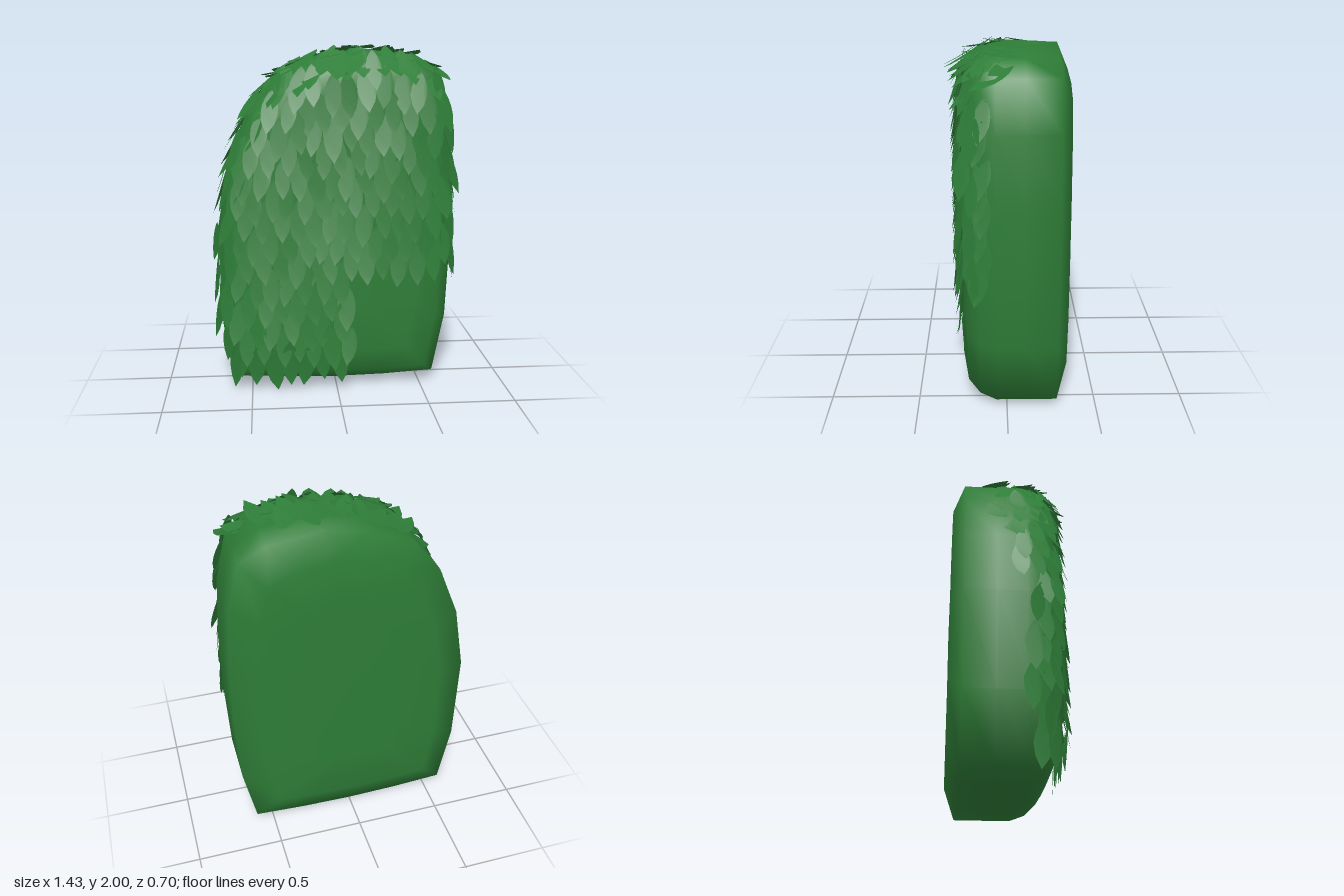
import * as THREE from 'three';
import { mergeGeometries } from 'three/addons/utils/BufferGeometryUtils.js';

// Outline of the hedge slab, counter-clockwise seen from the front
const outline = [
  [-0.6, 0.03], [-0.3, 0.012], [0, 0.005], [0.3, 0.012], [0.6, 0.03], [0.67, 0.38], [0.69, 0.8],
  [0.69, 1.2], [0.665, 1.58], [0.6, 1.85], [0.45, 1.93], [0.15, 1.975], [-0.1, 1.93],
  [-0.35, 1.82], [-0.5, 1.63], [-0.62, 1.33], [-0.685, 0.95], [-0.67, 0.4],
];
// Depth and inset of each ring from back to front
const rings = [
  [-0.345, 0.45], [-0.345, 0.16], [-0.28, 0], [-0.1, 0], [0.06, 0],
  [0.15, 0.03], [0.215, 0.09], [0.245, 0.22], [0.25, 0.5],
];

function bodyGeometry() {
  const n = outline.length, pos = [], idx = [];
  for (const [z, d] of rings) {
    for (const [x, y] of outline) pos.push(x * (1 - d / 0.69), 1 + (y - 1) * (1 - d), z);
  }
  pos.push(0, 1, -0.35, 0, 1, 0.25);
  const back = rings.length * n, front = back + 1, last = back - n;
  for (let i = 0; i < n; i++) {
    const j = (i + 1) % n;
    for (let r = 0; r < rings.length - 1; r++) {
      const a = r * n + i, b = r * n + j;
      idx.push(a, b, b + n, a, b + n, a + n);
    }
    idx.push(back, j, i, front, last + i, last + j);
  }
  const g = new THREE.BufferGeometry();
  g.setAttribute('position', new THREE.Float32BufferAttribute(pos, 3));
  g.setIndex(idx);
  g.computeVertexNormals();
  return g;
}

// Pointed leaf, tip towards -y, gently cupped with the tip lifted
function leafGeometry() {
  const s = new THREE.Shape();
  s.moveTo(0, 0.13);
  s.bezierCurveTo(-0.035, 0.1, -0.1, -0.02, 0, -0.14);
  s.bezierCurveTo(0.1, -0.02, 0.035, 0.1, 0, 0.13);
  const g = new THREE.ShapeGeometry(s, 6);
  const p = g.attributes.position;
  for (let i = 0; i < p.count; i++) {
    const y = p.getY(i);
    p.setZ(i, -y * 0.14 - Math.abs(p.getX(i)) * 0.15);
  }
  g.computeVertexNormals();
  return g;
}

export function createModel() {
  const group = new THREE.Group();
  const green = new THREE.MeshStandardMaterial({ color: 0x2e7d37 });
  green.name = 'hedge green';
  const leafGreen = new THREE.MeshStandardMaterial({ color: 0x2e7d38, side: THREE.DoubleSide });
  leafGreen.name = 'leaf green';

  const body = new THREE.Mesh(bodyGeometry(), green);
  body.name = 'hedgeBody';
  group.add(body);

  let seed = 7;
  const rand = () => (seed = (seed * 16807) % 2147483647) / 2147483647;
  const jitter = (a) => (rand() - 0.5) * 2 * a;
  const leaf = leafGeometry();
  const caster = new THREE.Raycaster();

  // Find the body surface along a ray and lay a leaf on it, tip along "hang"
  function addLeaf(list, from, aim, hang, minFacing, lift) {
    caster.set(from, aim);
    const hit = caster.intersectObject(body)[0];
    if (!hit || -hit.face.normal.dot(aim) < minFacing) return;
    const n = hit.face.normal.clone();
    const up = hang.clone().negate();
    up.addScaledVector(n, -up.dot(n)).normalize();
    const m = new THREE.Matrix4().makeBasis(up.clone().cross(n), up, n);
    m.multiply(new THREE.Matrix4().makeRotationFromEuler(new THREE.Euler(jitter(0.06), jitter(0.15), jitter(0.16))));
    const k = 0.95 + jitter(0.1);
    m.scale(new THREE.Vector3(k, k, k));
    m.setPosition(hit.point.clone().addScaledVector(n, lift + jitter(0.008)));
    list.push(leaf.clone().applyMatrix4(m));
  }
  function addFoliage(name, list) {
    const mesh = new THREE.Mesh(mergeGeometries(list), leafGreen);
    mesh.name = name;
    group.add(mesh);
  }
  const V = (x, y, z) => new THREE.Vector3(x, y, z);
  const down = V(0, -1, 0);

  // Staggered rows on the front, leaving the lower right corner bare
  const frontLeaves = [];
  for (let r = 0; r < 15; r++) {
    const y = 0.165 + r * 0.122;
    const right = y < 0.72 ? 0.1 : 0.68;
    for (let x = -0.66 + (r % 2) * 0.048; x < right; x += 0.096) {
      addLeaf(frontLeaves, V(x + jitter(0.015), y + jitter(0.025), 2), V(0, 0, -1), down, 0.3, 0.035);
    }
  }
  addFoliage('frontLeaves', frontLeaves);

  // Leaves wrapping round the front edges of both sides
  const sideLeaves = [];
  for (const side of [-1, 1]) {
    for (let r = 0; r < 14; r++) {
      const y = 0.17 + r * 0.122;
      if (side > 0 && (y < 0.72 || y > 1.7)) continue;
      const depths = side < 0 && y > 1.1 ? [0.02, 0.11, 0.19] : [0.13, 0.2];
      for (const z of depths) {
        addLeaf(sideLeaves, V(side * 2, y + jitter(0.03), z + (r % 2) * 0.02), V(-side, 0, 0), down, 0.3, 0.018);
      }
    }
  }
  addFoliage('sideLeaves', sideLeaves);

  // Leaves over the top, hanging forwards and down the slope
  const topLeaves = [];
  for (let r = 0; r < 4; r++) {
    const z = -0.1 + r * 0.095;
    for (let x = -0.63 + (r % 2) * 0.045; x < 0.62; x += 0.092) {
      if (r === 0 && x > 0.35) continue;
      addLeaf(topLeaves, V(x + jitter(0.02), 3, z + jitter(0.03)), down, V(0, -1, 0.5), 0.3, 0.01);
    }
  }
  addFoliage('topLeaves', topLeaves);

  return group;
}
